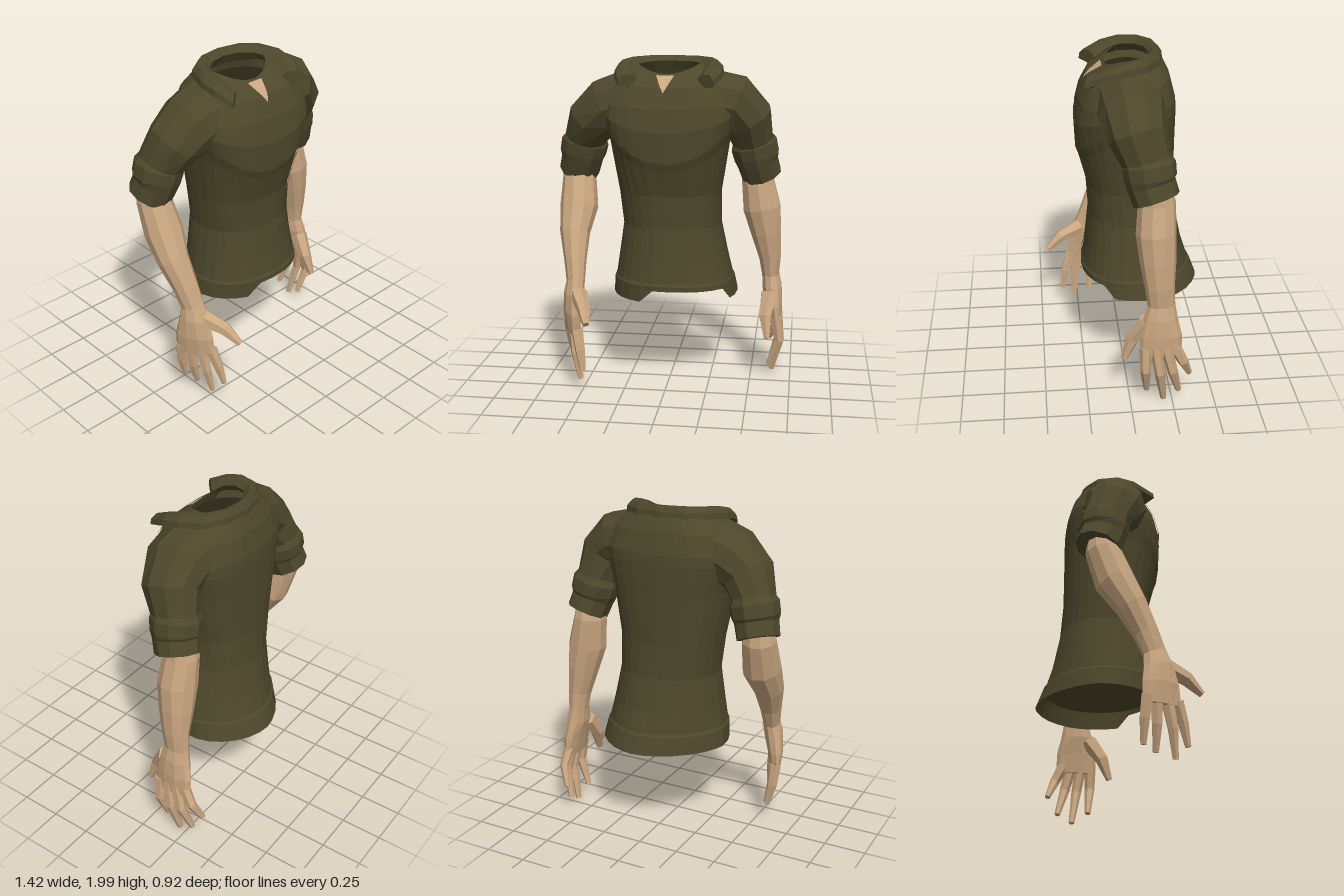
import * as THREE from 'three';

const V = (x, y, z) => new THREE.Vector3(x, y, z);
const shirt = new THREE.MeshStandardMaterial({ color: 0x4d472b, side: THREE.DoubleSide });
shirt.name = 'olive shirt';
const lining = new THREE.MeshStandardMaterial({ color: 0x2a2615, side: THREE.DoubleSide });
lining.name = 'neck lining';
const skin = new THREE.MeshStandardMaterial({ color: 0xc9a680 });
skin.name = 'skin';

function mesh(name, geo, mat) {
  const m = new THREE.Mesh(geo, mat);
  m.name = name;
  return m;
}

// Faceted geometry from triangles given as point triples
function facets(tris) {
  const g = new THREE.BufferGeometry();
  g.setFromPoints(tris.flat());
  g.computeVertexNormals();
  return g;
}

// Skin between closed cross-sections, turned outward by its signed volume
function loft(rings, caps = true) {
  const tris = [], n = rings[0].length;
  for (let i = 0; i < rings.length - 1; i++) {
    for (let j = 0; j < n; j++) {
      const k = (j + 1) % n, a = rings[i], b = rings[i + 1];
      tris.push([a[j], a[k], b[k]], [a[j], b[k], b[j]]);
    }
  }
  const cap = (r, flip) => {
    const c = r.reduce((s, p) => s.add(p), V(0, 0, 0)).divideScalar(n);
    r.forEach((p, j) => {
      const q = r[(j + 1) % n];
      tris.push(flip ? [c, q, p] : [c, p, q]);
    });
  };
  if (caps) {
    cap(rings[0], true);
    cap(rings[rings.length - 1], false);
  }
  const volume = tris.reduce((s, [a, b, c]) => s + a.dot(b.clone().cross(c)), 0);
  return facets(volume < 0 ? tris.map(([a, b, c]) => [a, c, b]) : tris);
}

// Limb from stations [x, y, z, radius across, radius along the hand's width]
function limb(st, sides = 8, yaw = 0) {
  const pts = st.map(s => V(s[0], s[1], s[2]));
  return loft(st.map((s, i) => {
    const d = pts[Math.min(i + 1, st.length - 1)].clone().sub(pts[Math.max(i - 1, 0)]).normalize();
    const u = V(Math.sin(yaw), 0, Math.cos(yaw)).cross(d).normalize();
    const w = d.clone().cross(u);
    return Array.from({ length: sides }, (_, j) => {
      const a = (j + 0.5) / sides * Math.PI * 2;
      return pts[i].clone().addScaledVector(u, Math.cos(a) * s[3]).addScaledVector(w, Math.sin(a) * s[4]);
    });
  }));
}

// Body cross-section: y, centre x, half width, front z, back z, front squareness,
// droop at the middle of the front, back squareness, sideways shift of the back
function bodyRing([y, cx, hw, zf, zb, pf, droop = 0, pb = pf, skew = 0], hem = false) {
  const pw = (v, p) => Math.sign(v) * Math.abs(v) ** p;
  return Array.from({ length: 28 }, (_, j) => {
    const a = j / 28 * Math.PI * 2, c = Math.cos(a);
    const p = c > 0 ? pf : pb, side = pw(Math.sin(a), p);
    const z = (zf + zb) / 2 + (zf - zb) / 2 * pw(c, p);
    const x = cx + hw * side + (c < 0 ? skew * -c : 0);
    const raised = hem && z > 0 && x > -0.15 && x < 0.37;
    return V(x, (raised ? 0.63 : y) - (c > 0 ? droop * (1 - side * side) : 0), z);
  });
}

function buildTorso() {
  const rows = [
    [1.97, -0.01, 0.19, 0.095, -0.19, 1, 0.06],
    [1.94, 0, 0.27, 0.13, -0.235, 0.95, 0.05],
    [1.86, 0, 0.36, 0.2, -0.275, 0.8, 0.02],
    [1.74, 0, 0.4, 0.252, -0.305, 0.72, 0.02],
    [1.68, 0, 0.4, 0.278, -0.31, 0.72, 0.1],
    [1.6, 0, 0.38, 0.27, -0.31, 0.72, 0.2],
    [1.52, 0, 0.36, 0.252, -0.31, 0.75, 0.17],
    [1.2, 0, 0.31, 0.212, -0.31, 0.82],
    [1.0, 0.01, 0.3, 0.2, -0.325, 0.85, 0, 0.9, 0.01],
    [0.8, 0.015, 0.335, 0.22, -0.365, 0.85, 0, 1, 0.025],
    [0.675, 0.02, 0.36, 0.24, -0.405, 0.85, 0, 1.1, 0.035],
    [0.66, 0.02, 0.37, 0.25, -0.42, 0.85, 0, 1.1, 0.035],
  ];
  const hem = bodyRing([0.555, 0.025, 0.385, 0.25, -0.46, 0.88, 0, 1.15, 0.045], true);
  return loft([...rows.map(r => bodyRing(r)), hem], false);
}

// Thin strip lying on the front of the body; rows are [left x, right x, y]
function strip(body, rows, cols, lift) {
  const ray = new THREE.Raycaster();
  const grid = rows.map(([l, r, y]) => Array.from({ length: cols + 1 }, (_, j) => {
    const x = l + (r - l) * j / cols;
    ray.set(V(x, y, 2), V(0, 0, -1));
    const hit = ray.intersectObject(body)[0];
    return V(x, y, (hit ? hit.point.z : 0.1) + lift);
  }));
  const tris = [];
  for (let i = 0; i < grid.length - 1; i++) {
    for (let j = 0; j < cols; j++) {
      const a = grid[i], b = grid[i + 1];
      tris.push([a[j], b[j], b[j + 1]], [a[j], b[j + 1], a[j + 1]]);
    }
  }
  return facets(tris);
}

// Folded collar, open at the front
function buildCollar() {
  const half = [[0.25, 1.915, 0.2], [0.285, 1.96, 0.1], [0.285, 1.985, 0], [0.24, 1.995, -0.12], [0.14, 2, -0.19]];
  const path = [...half, [0, 2, -0.215], ...half.map(([x, y, z]) => [-x, y, z]).reverse()];
  const section = [[0.7, -0.03], [0.85, 0], [1, 0], [1.1, -0.03], [1.12, -0.065], [0.85, -0.08]];
  return loft(path.map(([x, y, z]) => section.map(([f, dy]) => V(x * f, y + dy, (z + 0.02) * f - 0.02))));
}

export function createModel() {
  const model = new THREE.Group();
  model.name = 'shirtAndArms';

  const torso = mesh('shirtBody', buildTorso(), shirt);
  model.add(torso, mesh('collar', buildCollar(), shirt));

  // Panels closing the neck and the hem
  for (const [name, mat, row] of [
    ['neckLining', lining, [1.86, -0.01, 0.23, 0.12, -0.21, 1]],
    ['hemLining', shirt, [0.66, 0.02, 0.366, 0.245, -0.415, 0.85, 0, 1.1, 0.035]],
  ]) {
    const r = bodyRing(row), c = V(0, row[0], -0.04);
    model.add(mesh(name, facets(r.map((p, j) => [c, r[(j + 1) % r.length], p])), mat));
  }

  // Skin showing in the neck notch
  const notch = [1.904, 1.88, 1.855, 1.83, 1.81].map(y => {
    const w = (y - 1.808) * 0.55;
    return [-0.015 - w, -0.015 + w, y];
  });
  model.add(mesh('neckNotch', strip(torso, notch, 4, 0.006), skin));

  // Long front seams
  const seams = {
    rightSeam: [[-0.3, 1.86], [-0.25, 1.69], [-0.24, 1.5], [-0.21, 1.29], [-0.155, 1.08], [-0.13, 0.92], [-0.14, 0.66]],
    leftSeam: [[0.24, 1.86], [0.28, 1.66], [0.26, 1.5], [0.23, 1.38], [0.24, 1.19], [0.29, 0.92], [0.345, 0.67]],
  };
  for (const [name, pts] of Object.entries(seams)) {
    const curve = new THREE.CatmullRomCurve3(pts.map(([x, y]) => V(x, y, 0)));
    const rows = curve.getPoints(30).map(p => [p.x - 0.014, p.x + 0.014, p.y]);
    model.add(mesh(name, strip(torso, rows, 2, 0.009), shirt));
  }

  // Sleeves with rolled cuffs; the left shoulder is higher, the right sleeve hangs wider
  for (const [side, s, o, lift] of [['left', 1, 0, 0.035], ['right', -1, 0.045, 0.01]]) {
    const put = rows => rows.map(([x, ...rest]) => [s * x, ...rest]);
    const sleeve = limb(put([
      [0.24, 1.745, -0.03, 0.19, 0.21], [0.375, 1.69 + lift, -0.03, 0.185, 0.19],
      [0.46 + o / 2, 1.605 + lift, -0.05, 0.157, 0.165], [0.495 + o, 1.5, -0.1, 0.125, 0.14],
      [0.52 + o, 1.4, -0.12, 0.12, 0.13],
    ]), 10);
    const cuff = limb(put([
      [0.487 + o, 1.52, -0.105, 0.12, 0.13], [0.498 + o, 1.48, -0.11, 0.145, 0.152],
      [0.515 + o, 1.41, -0.118, 0.142, 0.148], [0.521 + o, 1.375, -0.122, 0.128, 0.138],
      [0.547 + o, 1.29, -0.15, 0.124, 0.135],
    ]), 10);
    model.add(mesh(side + 'Sleeve', sleeve, shirt), mesh(side + 'Cuff', cuff, shirt));
  }

  // Bare arms, palms and digits
  const arms = {
    left: {
      yaw: 0,
      arm: [[0.525, 1.4, -0.14, 0.08, 0.08], [0.522, 1.26, -0.155, 0.1, 0.107], [0.552, 1.08, -0.15, 0.118, 0.116],
        [0.583, 0.92, -0.16, 0.096, 0.105], [0.609, 0.76, -0.17, 0.07, 0.086], [0.614, 0.65, -0.18, 0.055, 0.08],
        [0.625, 0.57, -0.175, 0.062, 0.1], [0.643, 0.46, -0.175, 0.05, 0.125], [0.655, 0.34, -0.175, 0.034, 0.125]],
      fingers: [
        [[0.655, 0.39, -0.085], [0.675, 0.24, -0.085], [0.615, 0.07, -0.1]],
        [[0.66, 0.39, -0.145], [0.68, 0.22, -0.17], [0.63, 0.01, -0.2]],
        [[0.66, 0.39, -0.205], [0.675, 0.23, -0.245], [0.625, 0.06, -0.29]],
        [[0.65, 0.39, -0.255], [0.655, 0.28, -0.31], [0.605, 0.165, -0.355]]],
      thumb: [[0.61, 0.54, -0.1], [0.59, 0.42, -0.015], [0.605, 0.29, 0.035]],
    },
    right: {
      yaw: 0.45,
      arm: [[-0.58, 1.4, -0.125, 0.08, 0.08], [-0.585, 1.27, -0.12, 0.102, 0.102], [-0.577, 1.08, -0.05, 0.118, 0.115],
        [-0.587, 0.93, 0.04, 0.092, 0.095], [-0.57, 0.78, 0.12, 0.068, 0.078], [-0.56, 0.66, 0.17, 0.054, 0.074],
        [-0.567, 0.58, 0.19, 0.06, 0.095], [-0.577, 0.47, 0.2, 0.05, 0.12], [-0.577, 0.35, 0.205, 0.034, 0.125]],
      fingers: [
        [[-0.53, 0.39, 0.295], [-0.505, 0.27, 0.33], [-0.485, 0.15, 0.355]],
        [[-0.56, 0.39, 0.235], [-0.545, 0.23, 0.265], [-0.515, 0.07, 0.28]],
        [[-0.59, 0.39, 0.175], [-0.575, 0.24, 0.175], [-0.54, 0.095, 0.17]],
        [[-0.615, 0.39, 0.12], [-0.605, 0.26, 0.105], [-0.575, 0.125, 0.1]]],
      thumb: [[-0.53, 0.59, 0.23], [-0.475, 0.55, 0.36], [-0.44, 0.475, 0.45]],
    },
  };
  for (const [side, { yaw, arm, fingers, thumb }] of Object.entries(arms)) {
    const hand = new THREE.Group();
    hand.name = side + 'Hand';
    const digit = (pts, radii) => limb(pts.map((p, i) => [...p, radii[i], radii[i]]), 6, yaw);
    fingers.forEach((f, i) => hand.add(mesh('finger' + (i + 1), digit(f, [0.037, 0.031, 0.018]), skin)));
    hand.add(mesh('thumb', digit(thumb, [0.056, 0.042, 0.02]), skin));
    model.add(mesh(side + 'Arm', limb(arm, 10, yaw), skin), hand);
  }
  return model;
}
